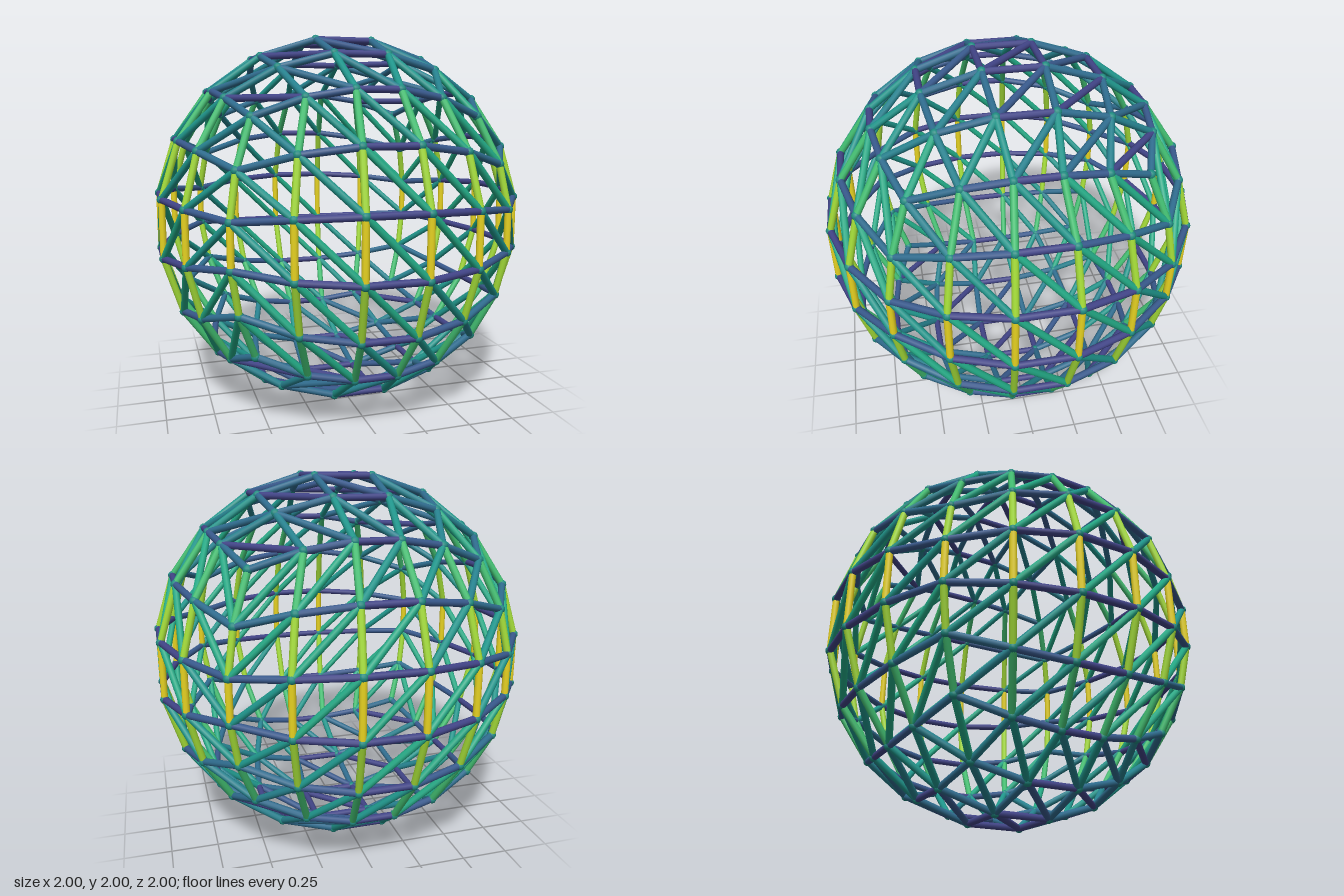
import * as THREE from 'three';
import { mergeGeometries } from 'three/addons/utils/BufferGeometryUtils.js';

const DIV = 5;            // cells along each side of the inflated cube
const RADIUS = 1;
const STRUT_R = 0.018;
const NODE_R = 0.024;

// strut colours by steepness: [degrees from horizontal, name, colour]
const RAMP = [
  [0, 'indigo', 0x414487], [10, 'slate blue', 0x38598c], [18, 'steel blue', 0x2f6c8e],
  [27, 'blue teal', 0x26818e], [36, 'teal', 0x1f958b], [45, 'sea green', 0x22a884],
  [54, 'green', 0x42be71], [72, 'lime', 0xa2da37], [90, 'yellow', 0xfde725],
];

function material(name, color) {
  const m = new THREE.MeshStandardMaterial({ color });
  m.name = name;
  return m;
}

// grid point on the cube -> point on the sphere, with equal angles between lines
function onSphere(p) {
  const t = p.map((i) => Math.tan((i / DIV - 0.5) * Math.PI / 2));
  return new THREE.Vector3(...t).setLength(RADIUS).add(new THREE.Vector3(0, 1, 0));
}

function strutGeometry(a, b) {
  const dir = b.clone().sub(a);
  const g = new THREE.CylinderGeometry(STRUT_R, STRUT_R, dir.length(), 10, 1, true);
  const q = new THREE.Quaternion().setFromUnitVectors(new THREE.Vector3(0, 1, 0), dir.normalize());
  g.applyQuaternion(q);
  const mid = a.clone().add(b).multiplyScalar(0.5);
  return g.translate(mid.x, mid.y, mid.z);
}

function rampIndex(a, b) {
  const d = b.clone().sub(a).normalize();
  const deg = THREE.MathUtils.radToDeg(Math.asin(Math.min(1, Math.abs(d.y))));
  let best = 0;
  RAMP.forEach((r, i) => {
    if (Math.abs(r[0] - deg) < Math.abs(RAMP[best][0] - deg)) best = i;
  });
  return best;
}

export function createModel() {
  const group = new THREE.Group();
  group.name = 'latticeSphere';

  const onEdge = (v) => v === 0 || v === DIV;
  const inside = (v) => v >= 0 && v <= DIV;
  // three grid directions and one diagonal for each pair of faces
  const steps = [[1, 0, 0], [0, 1, 0], [0, 0, 1], [1, -1, 0], [0, 1, 1], [1, 0, 1]];
  const nodes = [];
  const struts = RAMP.map(() => []);

  for (let i = 0; i <= DIV; i++) for (let j = 0; j <= DIV; j++) for (let k = 0; k <= DIV; k++) {
    const p = [i, j, k];
    if (!p.some(onEdge)) continue;
    const a = onSphere(p);
    nodes.push(new THREE.SphereGeometry(NODE_R, 12, 8).translate(a.x, a.y, a.z));
    for (const s of steps) {
      const q = p.map((v, n) => v + s[n]);
      // both ends must lie on the same cube face
      const shared = p.some((v, n) => v === q[n] && onEdge(v));
      if (!q.every(inside) || !shared) continue;
      const b = onSphere(q);
      struts[rampIndex(a, b)].push(strutGeometry(a, b));
    }
  }

  // struts, merged by colour
  struts.forEach((list, n) => {
    if (!list.length) return;
    const [deg, name, color] = RAMP[n];
    const mesh = new THREE.Mesh(mergeGeometries(list), material(name, color));
    mesh.name = `struts${deg}Degrees`;
    group.add(mesh);
  });

  // ball joints
  const joints = new THREE.Mesh(mergeGeometries(nodes), material('joint teal', 0x1f8a80));
  joints.name = 'joints';
  group.add(joints);

  return group;
}
